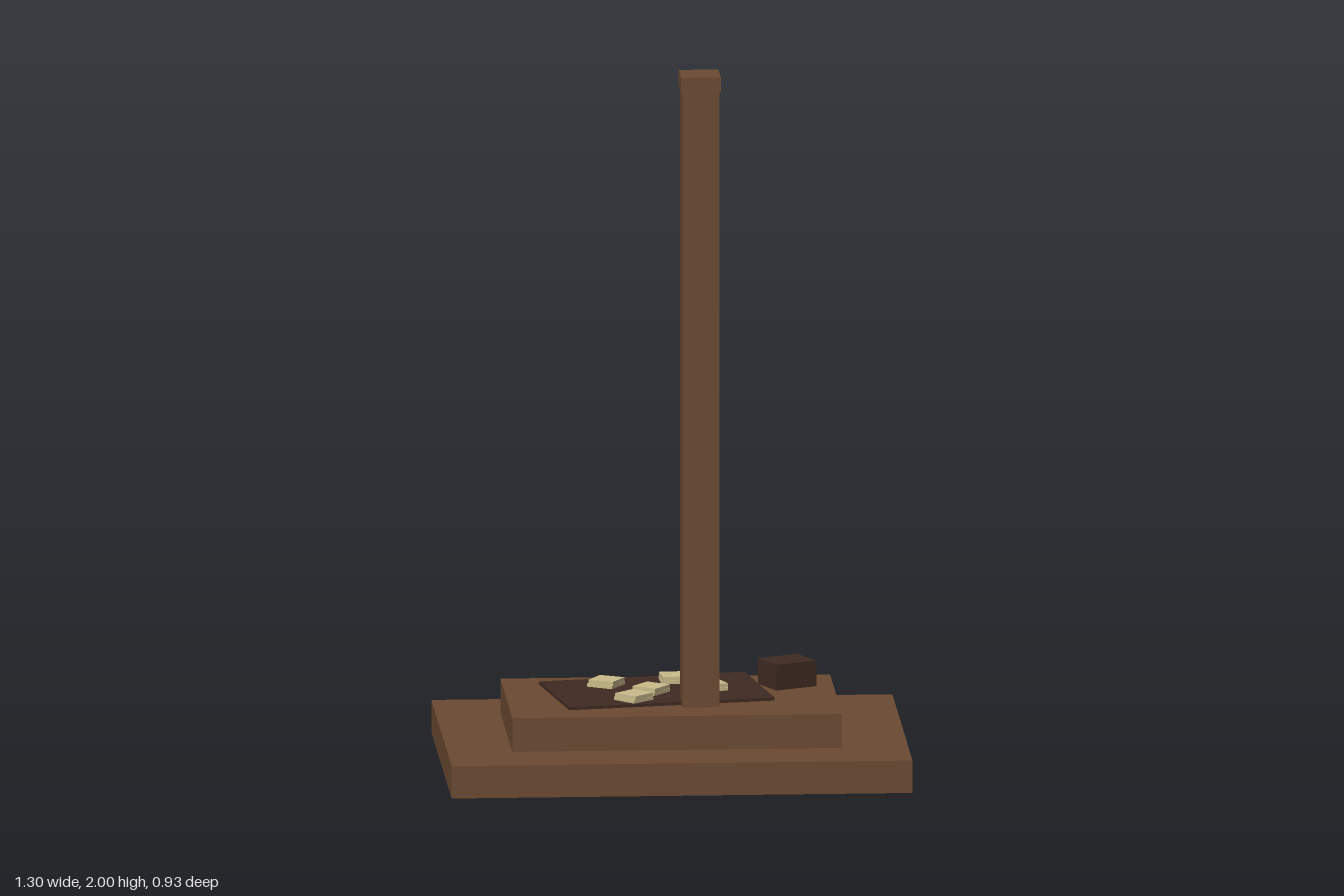
import * as THREE from 'three';

export function createModel() {
  const group = new THREE.Group();
  const mat = (name, color) => {
    const m = new THREE.MeshStandardMaterial({ color });
    m.name = name;
    return m;
  };
  const wood = mat('brown wood', 0x6b4a32);
  const dark = mat('dark brown', 0x3f2a22);
  const cream = mat('cream paper', 0xc9bb8a);

  // Box standing on height y, turned about the vertical axis
  const block = (name, material, [w, h, d], [x, y, z], turn = 0, parent = group) => {
    const mesh = new THREE.Mesh(new THREE.BoxGeometry(w, h, d), material);
    mesh.name = name;
    mesh.position.set(x, y + h / 2, z);
    mesh.rotation.y = turn;
    parent.add(mesh);
    return mesh;
  };

  // Stepped base
  block('lowerStep', wood, [1.3, 0.093, 0.93], [0, 0, 0]);
  block('upperStep', wood, [0.93, 0.097, 0.555], [-0.002, 0.093, -0.002]);

  // Post with a slightly wider cap
  block('post', wood, [0.104, 1.77, 0.104], [0.072, 0.19, 0.104]);
  block('postCap', wood, [0.112, 0.042, 0.112], [0.072, 1.958, 0.104]);

  // Mat and small box lying on the upper step
  block('mat', dark, [0.594, 0.009, 0.371], [-0.039, 0.19, -0.058], 0.17);
  block('smallBox', dark, [0.128, 0.074, 0.108], [0.333, 0.19, -0.141], 0.45);

  // Stacks of two cream slabs on the mat: x, z, turn
  const stacks = [
    [-0.179, -0.122, -0.54],
    [0.016, -0.171, 0.04],
    [-0.059, -0.021, -0.67],
    [0.11, -0.057, 0.33],
    [-0.113, 0.082, -0.82],
  ];
  stacks.forEach(([x, z, turn], i) => {
    const stack = new THREE.Group();
    stack.name = 'paperStack' + (i + 1);
    stack.position.set(x, 0.199, z);
    stack.rotation.y = turn;
    block('lowerSlab', cream, [0.079, 0.009, 0.079], [0, 0, 0], 0, stack);
    block('upperSlab', cream, [0.076, 0.011, 0.076], [0.001, 0.009, -0.001], 0.04, stack);
    group.add(stack);
  });

  return group;
}
